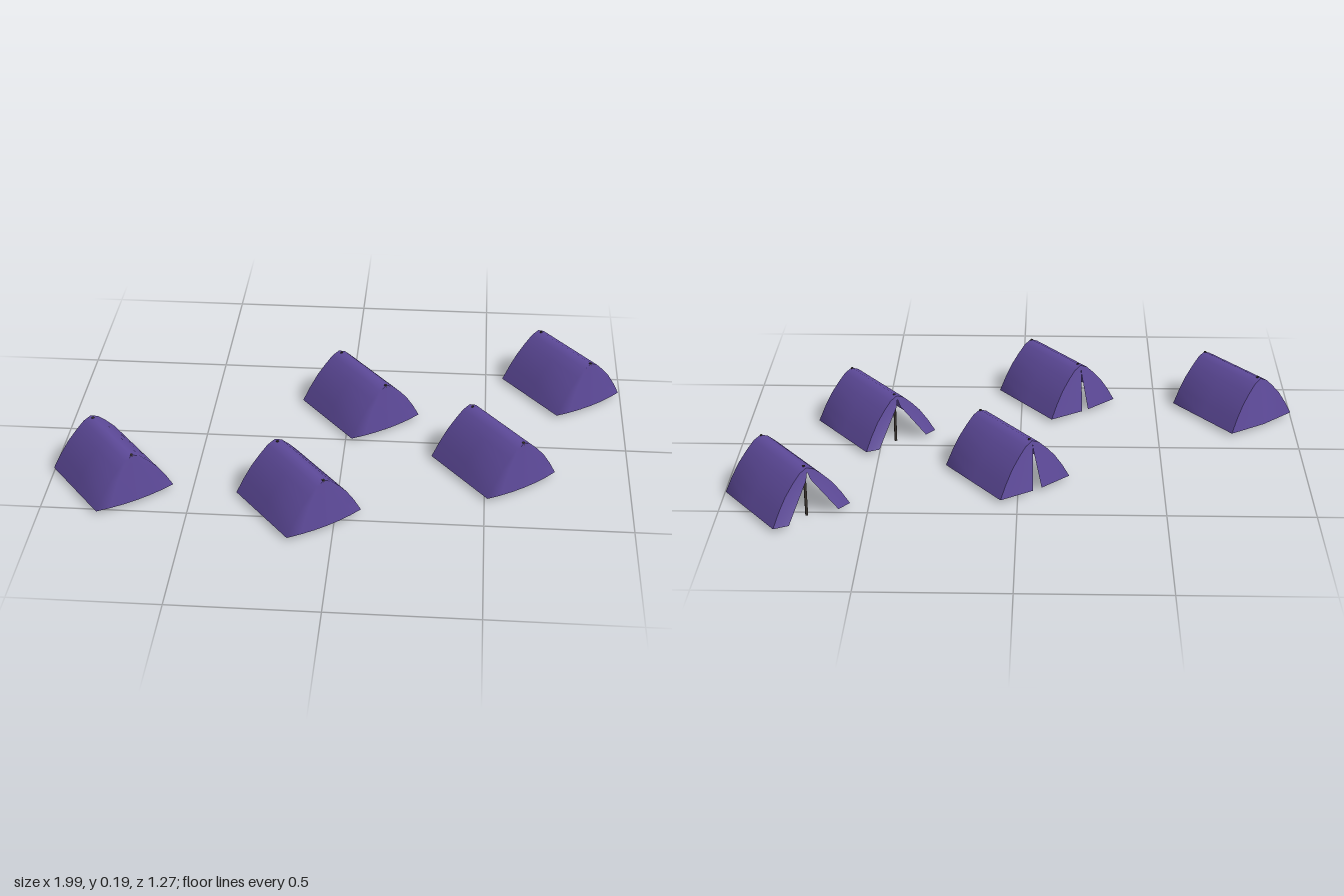
import * as THREE from 'three';

const fabric = new THREE.MeshStandardMaterial({ color: 0x5f4b9c, side: THREE.DoubleSide });
fabric.name = 'purple canvas';
const wood = new THREE.MeshStandardMaterial({ color: 0x3a342f });
wood.name = 'dark wood';

const HALF = 0.161;   // half the tent length
const INSET = 0.018;  // the ridge starts slightly behind the entrance base
const BASE = 0.012, TOP = 0.185;

// right half of the arched cross-section, from ridge to ground
const ARCH = [[0, TOP], [0.028, 0.172], [0.058, 0.143], [0.09, 0.107], [0.12, 0.062], [0.148, BASE]];
const PROFILE = [...ARCH.slice(1).reverse().map(([x, y]) => [-x, y]), ...ARCH];

// 0 at the ground, 1 at the ridge
const rise = (y) => (y - BASE) / (TOP - BASE);
const frontZ = (y) => -HALF + INSET * rise(y);

// smooth surface from equal-length rows of points
function grid(rows) {
  const n = rows[0].length, index = [];
  for (let r = 0; r < rows.length - 1; r++) {
    for (let c = 0; c < n - 1; c++) {
      const a = r * n + c, b = a + n;
      index.push(a, b, a + 1, a + 1, b, b + 1);
    }
  }
  const geo = new THREE.BufferGeometry();
  geo.setAttribute('position', new THREE.Float32BufferAttribute(rows.flat(2), 3));
  geo.setIndex(index);
  geo.computeVertexNormals();
  return geo;
}

// roof sections along the ridge, then folded in to close the back
function canopyGeometry() {
  const rows = [];
  for (const t of [0, 0.5, 1]) {
    rows.push(PROFILE.map(([x, y]) => [x, y, THREE.MathUtils.lerp(frontZ(y), HALF, t)]));
  }
  for (const t of [0.66, 0.33, 0]) {
    rows.push(PROFILE.map(([x, y]) => [x * t, y, HALF + 0.016 * (1 - t * t) * (1 - rise(y))]));
  }
  return grid(rows);
}

// one entrance flap; gap is the half width of the opening at the ground
function flapGeometry(side, gap) {
  const rows = [0, 0.33, 0.66, 1].map((t) => ARCH.map(([x, y]) => {
    const inner = Math.min(x, gap * Math.max(0, (0.155 - y) / (0.155 - BASE)));
    const px = THREE.MathUtils.lerp(x, inner, t);
    return [side * px, y, frontZ(y) - 0.012 * t * (1 - rise(y))];
  }));
  return grid(side > 0 ? rows : rows.reverse());
}

function add(parent, name, geometry, material) {
  const mesh = new THREE.Mesh(geometry, material);
  mesh.name = name;
  parent.add(mesh);
  return mesh;
}

function makeTent(gap) {
  const tent = new THREE.Group();
  tent.name = 'tent';
  add(tent, 'canopy', canopyGeometry(), fabric);
  add(tent, 'leftFlap', flapGeometry(1, gap), fabric);
  add(tent, 'rightFlap', flapGeometry(-1, gap), fabric);
  // upright poles at the entrance and the back
  for (const [name, z] of [['frontPole', -HALF + 0.035], ['backPole', HALF - 0.004]]) {
    const pole = add(tent, name, new THREE.CylinderGeometry(0.005, 0.005, 0.186, 8), wood);
    pole.position.set(0, 0.093, z);
  }
  return tent;
}

export function createModel() {
  const camp = new THREE.Group();
  camp.name = 'tentCamp';
  // x, z and entrance opening of each tent
  const layout = [
    [-0.785, 0.312, 0],
    [-0.13, 0.415, 0.014],
    [0.04, -0.208, 0.018],
    [0.528, 0.138, 0.1],
    [0.778, -0.42, 0.095],
  ];
  for (const [x, z, gap] of layout) {
    const tent = makeTent(gap);
    tent.position.set(x, 0, z);
    tent.rotation.y = 0.665;
    camp.add(tent);
  }
  return camp;
}
